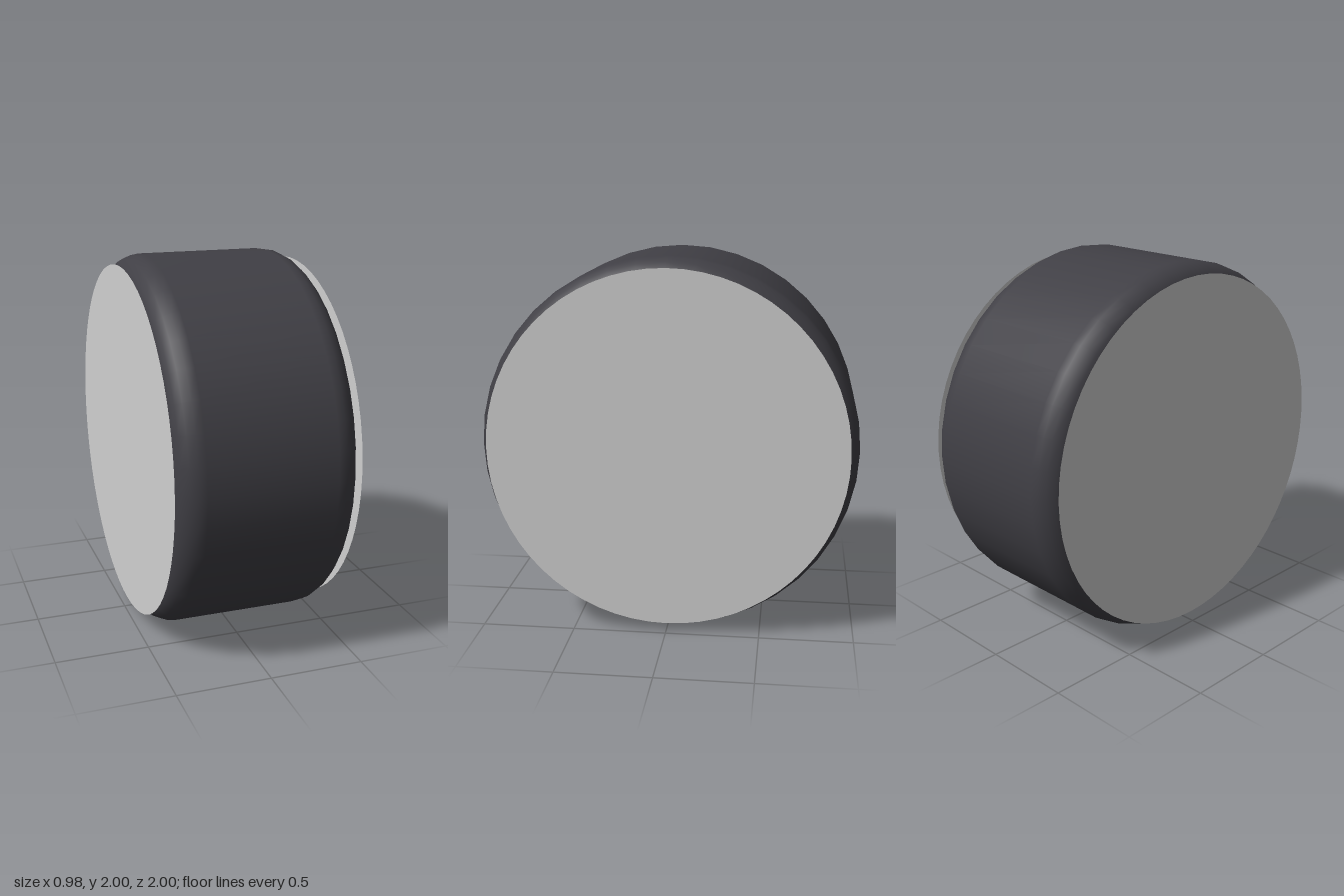
import * as THREE from 'three';

const RADIUS = 1;
const HALF_WIDTH = 0.476;
const FILLET = 0.14;

export function createModel() {
  const group = new THREE.Group();
  group.name = 'wheel';

  const rubber = new THREE.MeshStandardMaterial({ color: 0x403f45 });
  rubber.name = 'dark rubber';
  const metal = new THREE.MeshStandardMaterial({ color: 0xd2d2d2, side: THREE.DoubleSide });
  metal.name = 'light grey metal';

  // Tyre: flat tread with rounded shoulders, closed at both sides
  const profile = [new THREE.Vector2(0, -HALF_WIDTH)];
  const steps = 5;
  for (const side of [-1, 1]) {
    for (let i = 0; i <= steps; i++) {
      const a = (side < 0 ? i - steps : i) / steps * Math.PI / 2;
      profile.push(new THREE.Vector2(
        RADIUS - FILLET + FILLET * Math.cos(a),
        side * (HALF_WIDTH - FILLET) + FILLET * Math.sin(a)
      ));
    }
  }
  profile.push(new THREE.Vector2(0, HALF_WIDTH));
  const tyre = new THREE.Mesh(new THREE.LatheGeometry(profile, 40), rubber);
  tyre.name = 'tyre';
  tyre.rotation.z = -Math.PI / 2;
  tyre.position.y = RADIUS;
  group.add(tyre);

  // Thin cover disc and smaller hub disc on each side
  const addDisc = (name, radius, x, side) => {
    const disc = new THREE.Mesh(new THREE.CircleGeometry(radius, 64), metal);
    disc.name = name;
    disc.rotation.y = side * Math.PI / 2;
    disc.position.set(side * x, RADIUS, 0);
    group.add(disc);
  };
  for (const [label, side] of [['left', 1], ['right', -1]]) {
    addDisc(label + 'Cover', 0.95, 0.482, side);
    addDisc(label + 'Hub', 0.63, 0.49, side);
  }

  return group;
}
